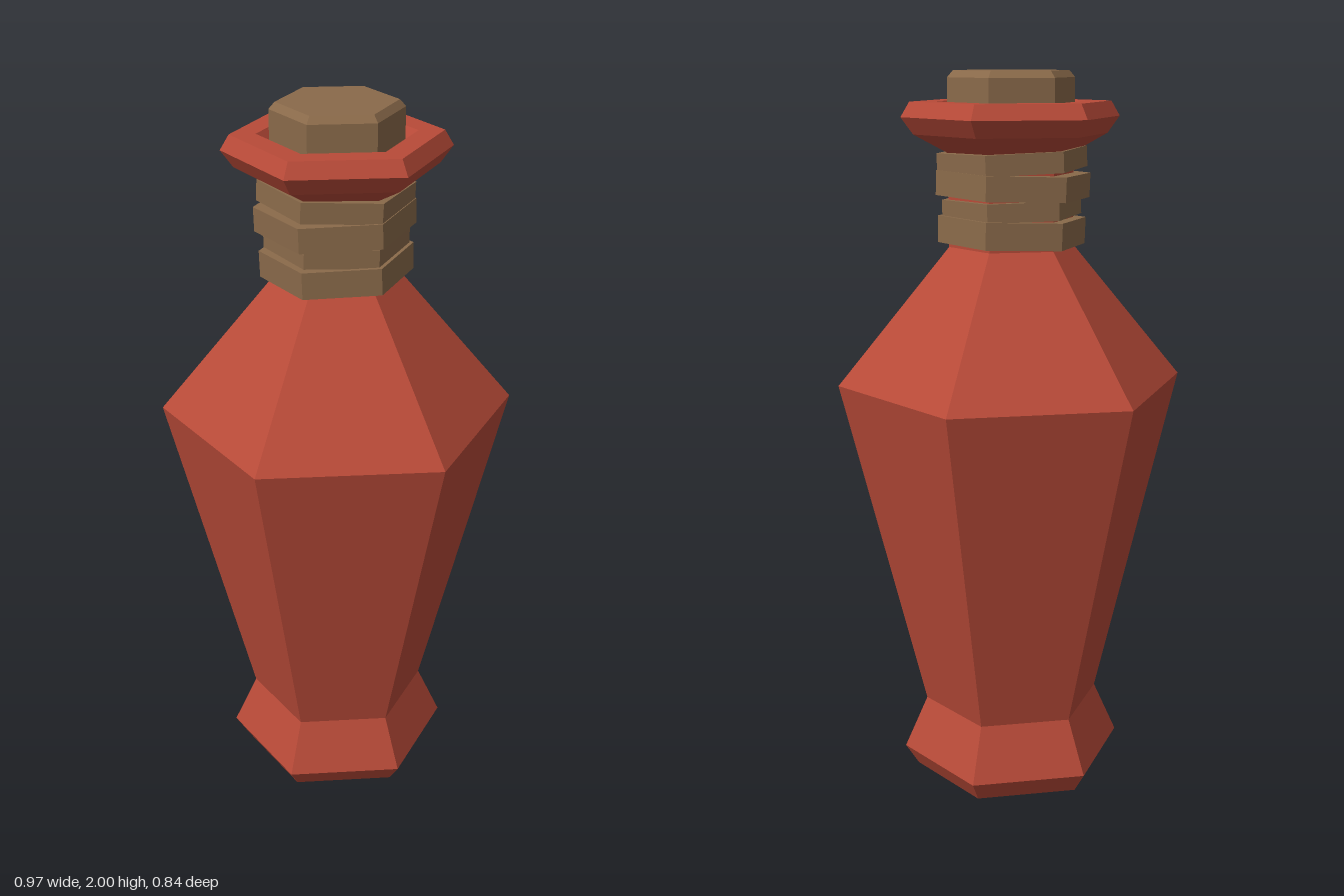
import * as THREE from 'three';

const mat = (name, color) => {
  const m = new THREE.MeshStandardMaterial({ color, flatShading: true });
  m.name = name;
  return m;
};

// Six-sided turned shape with corners on the x axis; profile runs from bottom to top
function hexLathe(name, profile, material) {
  const points = profile.map(([r, y]) => new THREE.Vector2(r, y));
  const mesh = new THREE.Mesh(new THREE.LatheGeometry(points, 6, Math.PI / 2), material);
  mesh.name = name;
  return mesh;
}

export function createModel() {
  const red = mat('red glaze', 0xb84a38);
  const brown = mat('cork brown', 0x8a6a4a);
  const model = new THREE.Group();
  model.name = 'bottle';

  // Foot, body, shoulder and neck, then the flared lip and its sloping inside
  model.add(hexLathe('bottleBody', [
    [0, 0], [0.28, 0], [0.318, 0.06], [0.252, 0.21], [0.483, 1.16],
    [0.172, 1.535], [0.172, 1.79],
  ], red));
  model.add(hexLathe('lip', [
    [0.172, 1.785], [0.265, 1.835], [0.298, 1.88], [0.274, 1.92], [0.206, 1.92], [0.165, 1.87],
  ], red));

  // Stopper with a small chamfer
  model.add(hexLathe('stopper', [
    [0.173, 1.85], [0.173, 1.982], [0.157, 2], [0, 2],
  ], brown));

  // Wraps around the neck, each slightly tilted: radius, middle height, height, tilt, shift in x
  const wraps = new THREE.Group();
  wraps.name = 'neckWraps';
  [
    [0.206, 1.766, 0.055, -0.04, -0.003],
    [0.212, 1.702, 0.066, 0.03, -0.006],
    [0.192, 1.641, 0.05, -0.02, -0.002],
    [0.204, 1.579, 0.072, 0.03, -0.002],
  ].forEach(([r, y, h, tilt, x], i) => {
    const wrap = hexLathe('neckWrap' + (i + 1), [
      [0.15, -h / 2], [r, -h / 2], [r, h / 2], [0.15, h / 2],
    ], brown);
    wrap.position.set(x, y, 0);
    wrap.rotation.z = tilt;
    wraps.add(wrap);
  });
  model.add(wraps);
  return model;
}
